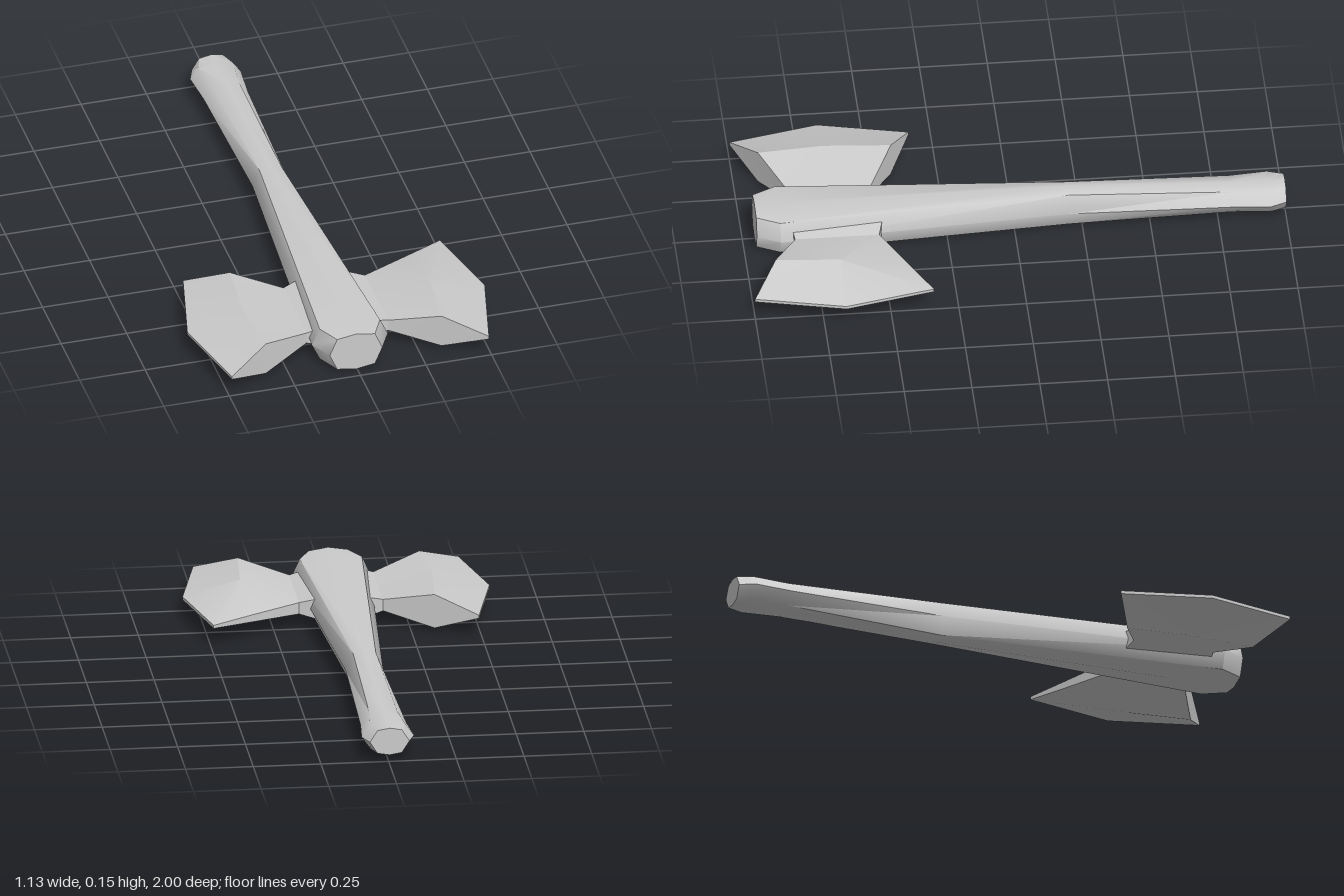
import * as THREE from 'three';
import { toCreasedNormals } from 'three/addons/utils/BufferGeometryUtils.js';

const MID = 0.081; // height of the central plane

// Mesh from a list of triangles; side -1 mirrors it across x = 0
function makeMesh(name, tris, crease, side = 1) {
  const pos = [];
  for (const t of tris) {
    const corners = side < 0 ? [t[0], t[2], t[1]] : t;
    for (const [x, y, z] of corners) pos.push(x * side, y + MID, z);
  }
  const geo = new THREE.BufferGeometry();
  geo.setAttribute('position', new THREE.Float32BufferAttribute(pos, 3));
  const mesh = new THREE.Mesh(
    toCreasedNormals(geo, crease),
    new THREE.MeshStandardMaterial({ color: 0xcccccc })
  );
  mesh.name = name;
  return mesh;
}

// Skin a row of rings and close both ends
function loft(rings) {
  const tris = [];
  const n = rings[0].length;
  for (let r = 0; r < rings.length - 1; r++) {
    const a = rings[r], b = rings[r + 1];
    for (let i = 0; i < n; i++) {
      const j = (i + 1) % n;
      tris.push([b[i], a[i], a[j]], [b[i], a[j], b[j]]);
    }
  }
  const first = rings[0], last = rings[rings.length - 1];
  for (let i = 1; i < n - 1; i++) {
    tris.push([first[0], first[i + 1], first[i]], [last[0], last[i], last[i + 1]]);
  }
  return tris;
}

// Eight-sided handle: [z, half width, half width of the flat, half height]
function createHandle() {
  const stations = [
    [-1, 0.073, 0.045, 0.052],
    [-0.94, 0.097, 0.066, 0.052],
    [-0.8, 0.085, 0.052, 0.053],
    [-0.2, 0.069, 0.042, 0.077],
    [0.87, 0.145, 0.115, 0.077],
    [0.955, 0.1, 0.072, 0.077],
  ];
  const rings = stations.map(([z, w, f, h]) => {
    const d = h * 0.85;
    return [[w, 0], [f, d], [0, h], [-f, d], [-w, 0], [-f, -d], [0, -h], [f, -d]]
      .map(([x, y]) => [x - 0.004, y, z]);
  });
  return makeMesh('handle', loft(rings), 0.88);
}

// Blade: outline of [x, z, half thickness] around a thick centre point
function createBlade(side) {
  const outline = [
    [0.155, 0.51, 0.022],
    [0.335, 0.42, side > 0 ? 0.014 : 0.065], // one blade is thinner at its back
    [0.49, 0.34, 0.006],
    [0.567, 0.67, 0.006],
    [0.49, 1.0, 0.006],
    [0.335, 0.91, 0.065],
    [0.155, 0.82, 0.022],
  ];
  const top = outline.map(([x, z, t]) => [x, t, z]);
  const low = outline.map(([x, z, t]) => [x, -t, z]);
  const tris = [];
  for (let i = 0; i < outline.length; i++) {
    const j = (i + 1) % outline.length;
    tris.push(
      [[0.355, 0.065, 0.67], top[j], top[i]],
      [[0.355, -0.065, 0.67], low[i], low[j]],
      [low[j], low[i], top[i]],
      [low[j], top[i], top[j]]
    );
  }
  return makeMesh(side > 0 ? 'leftBlade' : 'rightBlade', tris, 0.4, side);
}

// Short neck joining a blade to the handle
function createNeck(side) {
  const rings = [[0.08, 0.49, 0.83, 0.042], [0.156, 0.51, 0.82, 0.022]]
    .map(([x, b, f, t]) => [[x, -t, b], [x, t, b], [x, t, f], [x, -t, f]]);
  return makeMesh(side > 0 ? 'leftNeck' : 'rightNeck', loft(rings), 0.4, side);
}

export function createModel() {
  const group = new THREE.Group();
  group.name = 'doubleAxe';
  group.add(createHandle());
  for (const side of [1, -1]) group.add(createBlade(side), createNeck(side));
  return group;
}
